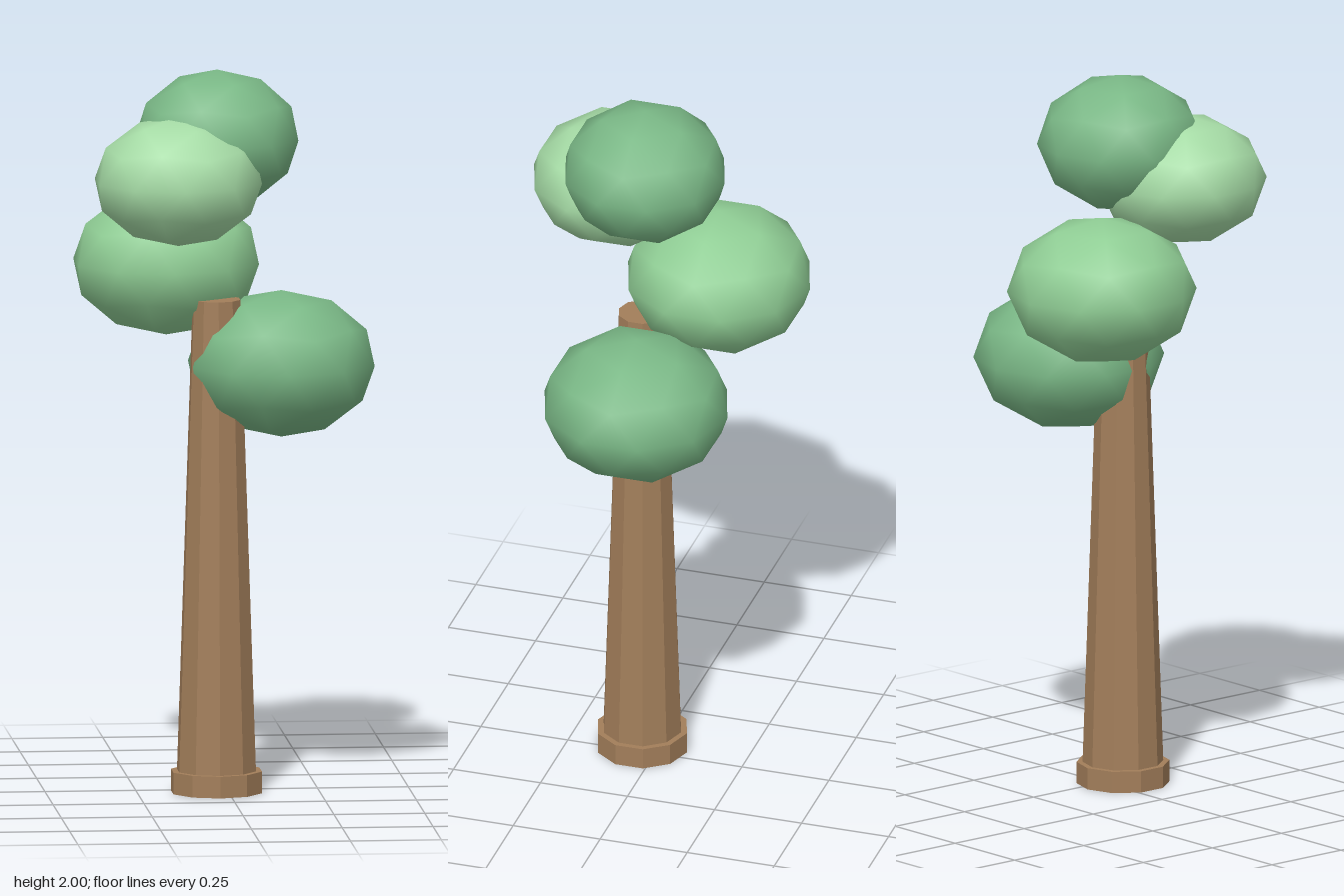
import * as THREE from 'three';

export function createModel() {
  const tree = new THREE.Group();
  tree.name = 'tree';

  // Ten-sided trunk on a slightly wider foot
  const bark = new THREE.MeshStandardMaterial({ color: 0xa27e5a, flatShading: true });
  function trunkPart(name, rTop, rBottom, y0, y1) {
    const mesh = new THREE.Mesh(new THREE.CylinderGeometry(rTop, rBottom, y1 - y0, 10), bark);
    mesh.name = name;
    mesh.position.set(-0.032, (y0 + y1) / 2, 0.046);
    tree.add(mesh);
  }
  trunkPart('trunkFoot', 0.128, 0.128, 0, 0.06);
  trunkPart('trunk', 0.067, 0.111, 0.06, 1.365);

  // Foliage clumps: smooth, flattened low-poly balls with a vertex at the pole
  function clump(name, color, radius, height, x, y, z) {
    const geo = new THREE.IcosahedronGeometry(1, 1);
    geo.rotateZ(-Math.atan(2 / (1 + Math.sqrt(5))));
    geo.scale(radius, height, radius);
    const mesh = new THREE.Mesh(geo, new THREE.MeshStandardMaterial({ color }));
    mesh.name = name;
    mesh.position.set(x, y, z);
    tree.add(mesh);
  }
  clump('topFoliage', 0x7ab886, 0.229, 0.19, -0.03, 1.81, 0.038);
  clump('frontFoliage', 0xa6dca6, 0.235, 0.18, -0.147, 1.71, 0.158);
  clump('backFoliage', 0x90ce95, 0.261, 0.203, -0.154, 1.445, -0.136);
  clump('leftFoliage', 0x7ab886, 0.2625, 0.203, 0.15, 1.179, 0.007);

  return tree;
}
